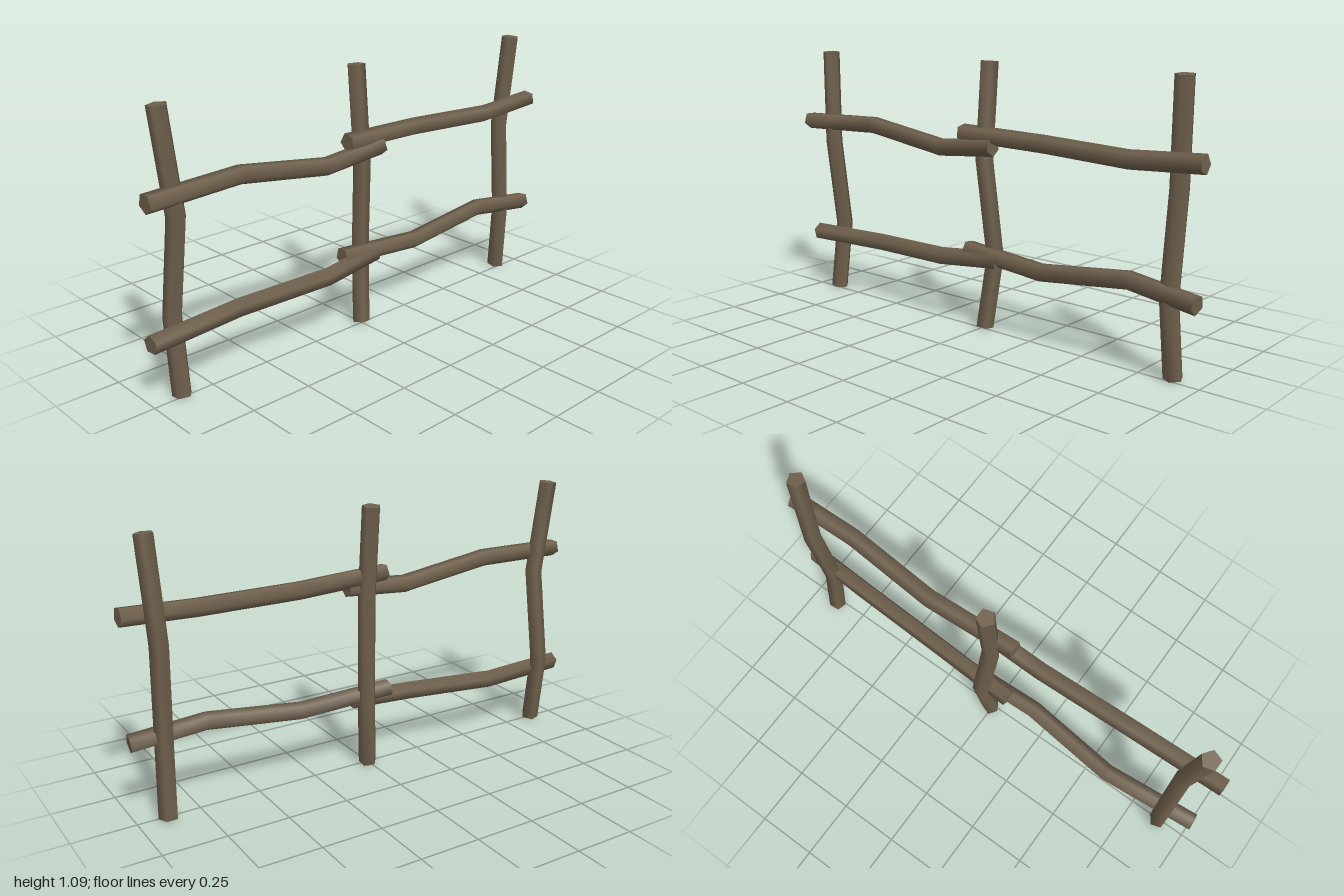
import * as THREE from 'three';

const SIDES = 5;

// Crooked log: a five-sided section swept along a bent path, with flat end caps
function logGeometry(path, radius, phase) {
  const pts = path.map((p) => new THREE.Vector3(...p));
  const pos = [];
  const sides = [];
  const last = pts.length - 1;

  const ring = (i) => {
    const t = new THREE.Vector3();
    if (i > 0) t.add(pts[i].clone().sub(pts[i - 1]).normalize());
    if (i < last) t.add(pts[i + 1].clone().sub(pts[i]).normalize());
    t.normalize();
    const u = new THREE.Vector3(0, 0, 1).addScaledVector(t, -t.z).normalize();
    const v = t.clone().cross(u);
    return Array.from({ length: SIDES }, (_, j) => {
      const a = phase + (j / SIDES) * Math.PI * 2;
      return pts[i].clone()
        .addScaledVector(u, radius * Math.cos(a))
        .addScaledVector(v, radius * Math.sin(a));
    });
  };
  const rings = pts.map((_, i) => ring(i));

  // smooth bark
  rings.forEach((r) => r.forEach((p) => pos.push(p.x, p.y, p.z)));
  for (let i = 0; i < last; i++) {
    for (let j = 0; j < SIDES; j++) {
      const k = (j + 1) % SIDES;
      const a = i * SIDES + j, b = i * SIDES + k;
      sides.push(a, b, a + SIDES, b, b + SIDES, a + SIDES);
    }
  }
  // cut ends, with their own vertices so the rim stays sharp
  [0, last].forEach((i) => {
    const base = pos.length / 3;
    rings[i].forEach((p) => pos.push(p.x, p.y, p.z));
    for (let j = 1; j < SIDES - 1; j++) {
      if (i === 0) sides.push(base, base + j + 1, base + j);
      else sides.push(base, base + j, base + j + 1);
    }
  });

  const g = new THREE.BufferGeometry();
  g.setAttribute('position', new THREE.Float32BufferAttribute(pos, 3));
  g.setIndex(sides);
  g.computeVertexNormals();
  return g;
}

export function createModel() {
  const group = new THREE.Group();
  group.name = 'logFence';
  const wood = new THREE.MeshStandardMaterial({ color: 0x6f604c });
  wood.name = 'weatheredWood';

  const logs = [
    // upright posts, bottom to top
    ['postRight', 0.3, [[-0.88, 0.005, -0.005], [-0.875, 0.3, -0.043], [-0.868, 0.69, 0.012], [-0.9, 1.088, -0.014]]],
    ['postMiddle', 0.9, [[0.005, 0.005, -0.012], [0.03, 0.3, -0.046], [0.005, 0.7, -0.008], [0.005, 1.088, -0.04]]],
    ['postLeft', 0.1, [[0.885, 0.005, -0.02], [0.872, 0.3, 0.003], [0.877, 0.69, -0.03], [0.895, 1.088, -0.004]]],
    // rails, from the model's right to its left
    ['upperRailRight', 0.3, [[-1, 0.778, 0.037], [-0.6, 0.79, 0.023], [-0.2, 0.735, 0.028], [0.08, 0.76, 0.026]]],
    ['upperRailLeft', 0.5, [[-0.09, 0.802, 0.015], [0.3, 0.792, 0], [0.7, 0.783, 0.036], [1, 0.798, 0.026]]],
    ['lowerRailRight', 0.9, [[-1, 0.252, 0.004], [-0.6, 0.255, -0.03], [-0.2, 0.272, 0.012], [0.08, 0.298, -0.006]]],
    ['lowerRailLeft', 0.2, [[-0.09, 0.317, -0.02], [0.3, 0.295, 0.004], [0.7, 0.343, 0.008], [0.995, 0.312, 0.032]]],
  ];
  for (const [name, phase, path] of logs) {
    const mesh = new THREE.Mesh(logGeometry(path, 0.0375, phase), wood);
    mesh.name = name;
    group.add(mesh);
  }
  return group;
}
